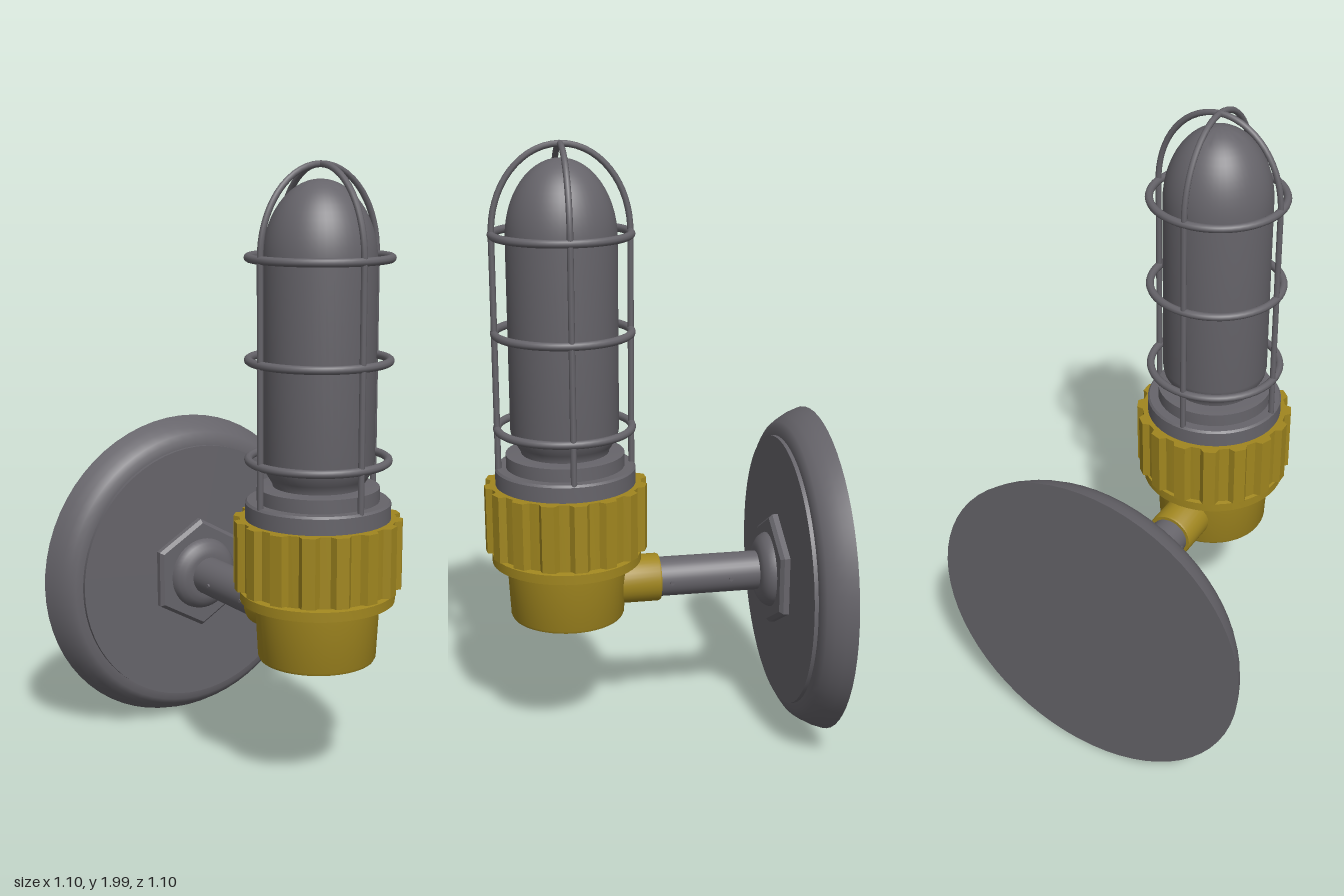
import * as THREE from 'three';
import { toCreasedNormals } from 'three/addons/utils/BufferGeometryUtils.js';

const LAMP_Z = 0.283; // vertical lamp axis
const ARM_Y = 0.555;  // horizontal arm axis

export function createModel() {
  const model = new THREE.Group();
  const grey = new THREE.MeshStandardMaterial({ color: 0x66646a });
  grey.name = 'grey metal';
  const brass = new THREE.MeshStandardMaterial({ color: 0xa0861f });
  brass.name = 'brass';

  const lamp = new THREE.Group();
  lamp.name = 'lamp';
  lamp.position.z = LAMP_Z;
  const arm = new THREE.Group(); // local +y points to the front
  arm.name = 'wallArm';
  arm.position.y = ARM_Y;
  arm.rotation.x = Math.PI / 2;
  model.add(lamp, arm);

  const add = (parent, name, geometry, material) => {
    const mesh = new THREE.Mesh(geometry, material);
    mesh.name = name;
    parent.add(mesh);
    return mesh;
  };
  // Turned part from [radius, height] pairs, listed upwards
  const turned = (points, sides = 48) => toCreasedNormals(
    new THREE.LatheGeometry(points.map(([r, y]) => new THREE.Vector2(r, y)), sides), 0.6);

  // Wall plate with rounded rim and raised face
  add(arm, 'wallPlate', turned([
    [0, -0.55], [0.548, -0.55], [0.535, -0.515], [0.518, -0.485], [0.5, -0.461],
    [0.482, -0.449], [0.455, -0.447], [0.455, -0.434], [0, -0.434],
  ], 64), grey);

  // Hexagonal nut, collar and pipe
  add(arm, 'hexNut', turned([[0, -0.44], [0.196, -0.44], [0.196, -0.415], [0.183, -0.403], [0, -0.403]], 6), grey);
  add(arm, 'collar', turned([
    [0.128, -0.41], [0.125, -0.395], [0.115, -0.379], [0.098, -0.367], [0.078, -0.361], [0.06, -0.361],
  ]), grey);
  add(arm, 'pipe', turned([[0.066, -0.38], [0.066, 0.02]], 32), grey);
  for (const z of [-0.26, -0.06]) {
    for (const side of [-1, 1]) {
      const screw = add(arm, 'pipeScrew', new THREE.CylinderGeometry(0.007, 0.007, 0.012, 10), grey);
      screw.rotation.z = Math.PI / 2;
      screw.position.set(side * 0.066, z, 0);
    }
  }
  add(arm, 'pipeSocket', turned([[0.06, -0.024], [0.077, -0.024], [0.08, -0.018], [0.08, 0.14]], 32), brass);

  // Base cup and flange
  add(lamp, 'baseCup', turned([
    [0, 0.449], [0.176, 0.449], [0.184, 0.452], [0.188, 0.461], [0.198, 0.65],
  ]), brass);
  add(lamp, 'flange', turned([
    [0.19, 0.645], [0.245, 0.645], [0.245, 0.676], [0.225, 0.68], [0.225, 0.7],
  ]), brass);

  // Toothed clamp ring
  const TEETH = 16, ROOT = 0.245, TIP = 0.265;
  const gear = new THREE.Shape();
  const step = Math.PI * 2 / TEETH;
  const corners = [[ROOT, -0.13], [TIP, -0.075], [TIP, 0.075], [ROOT, 0.13], [ROOT, 0.19], [ROOT, 0.26 - step]];
  for (let i = 0; i < TEETH; i++) {
    corners.slice(0, 5).forEach(([r, a], k) => {
      const angle = i * step + a + 0.052;
      const x = r * Math.cos(angle), y = r * Math.sin(angle);
      if (i + k === 0) gear.moveTo(x, y);
      else gear.lineTo(x, y);
    });
  }
  gear.closePath();
  const bore = new THREE.Path();
  bore.absarc(0, 0, 0.215, 0, Math.PI * 2, true);
  gear.holes.push(bore);
  const gearGeometry = new THREE.ExtrudeGeometry(gear, { depth: 0.22, bevelEnabled: false, curveSegments: 24 });
  gearGeometry.rotateX(-Math.PI / 2);
  add(lamp, 'clampRing', toCreasedNormals(gearGeometry, 0.3), brass).position.y = 0.69;

  // Cage base and globe seat
  add(lamp, 'cageBase', turned([
    [0.2, 0.89], [0.228, 0.89], [0.228, 0.96], [0.222, 0.967], [0.192, 0.967],
    [0.192, 1.01], [0.165, 1.013], [0, 1.013],
  ]), grey);

  // Domed globe with narrow neck
  const globe = [[0.142, 1.0], [0.142, 1.018], [0.155, 1.04], [0.17, 1.065], [0.175, 1.09], [0.175, 1.7]];
  for (let i = 1; i <= 14; i++) {
    const a = i / 14 * Math.PI / 2;
    globe.push([i === 14 ? 0 : 0.175 * Math.cos(a), 1.7 + 0.247 * Math.sin(a)]);
  }
  add(lamp, 'globe', turned(globe), grey);

  // Guard hoops
  for (const y of [1.095, 1.405, 1.715]) {
    const hoop = add(lamp, 'guardHoop', new THREE.TorusGeometry(0.217, 0.013, 10, 56), grey);
    hoop.rotation.x = Math.PI / 2;
    hoop.position.y = y;
  }

  // Two crossed guard bars arching over the globe
  const barPoints = [];
  for (const y of [0.94, 1.2, 1.45, 1.64]) barPoints.push(new THREE.Vector3(0.217, y, 0));
  for (let i = 0; i <= 12; i++) {
    const a = i / 12 * Math.PI / 2;
    barPoints.push(new THREE.Vector3(0.217 * Math.cos(a), 1.72 + 0.27 * Math.sin(a), 0));
  }
  const mirrored = barPoints.slice(0, -1).reverse().map((p) => new THREE.Vector3(-p.x, p.y, 0));
  const barCurve = new THREE.CatmullRomCurve3([...barPoints, ...mirrored]);
  for (let i = 0; i < 2; i++) {
    const bar = add(lamp, 'guardBar', new THREE.TubeGeometry(barCurve, 90, 0.01, 8), grey);
    bar.rotation.y = i * Math.PI / 2;
  }

  return model;
}
